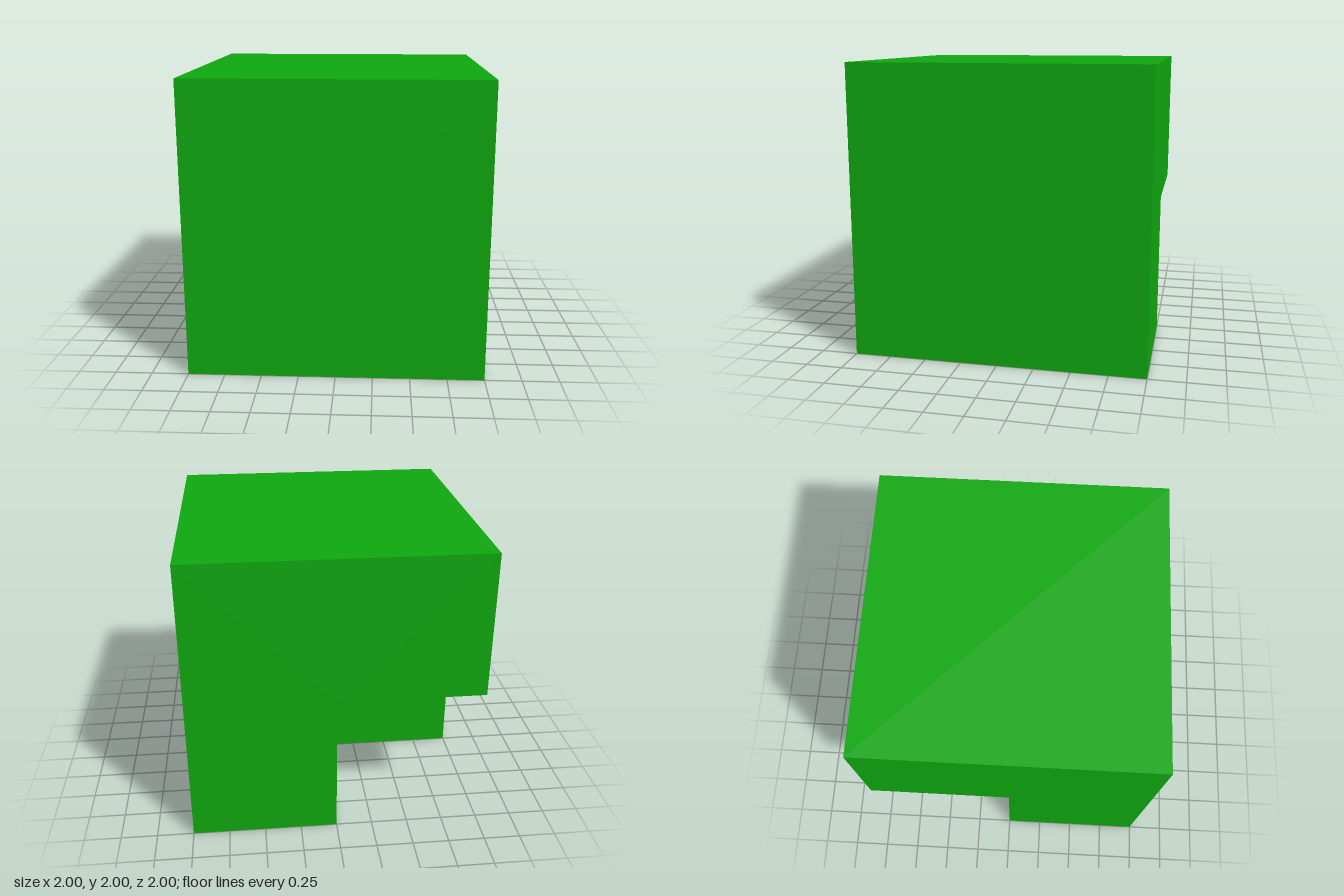
import * as THREE from 'three';
import { mergeGeometries } from 'three/addons/utils/BufferGeometryUtils.js';

// L-shaped face: a 2 x 2 square lacking the quarter at +x, -y, turned to face -z
function notchedFace() {
  const corners = [[-1, -1], [0, -1], [0, 0], [1, 0], [1, 1], [-1, 1]];
  const shape = new THREE.Shape(corners.map(([x, y]) => new THREE.Vector2(x, y)));
  return new THREE.ShapeGeometry(shape).rotateY(Math.PI).translate(0, 0, -1);
}

export function createModel() {
  const group = new THREE.Group();
  group.name = 'notchedCube';

  // Cyclic axis swap x -> y -> z -> x, which maps the notched corner onto itself
  const swap = new THREE.Matrix4().set(
    0, 0, 1, 0,
    1, 0, 0, 0,
    0, 1, 0, 0,
    0, 0, 0, 1
  );

  // Each axis has a full outer face, a notched outer face and an inner notch wall
  const faces = [];
  for (let axis = 0; axis < 3; axis++) {
    const set = [
      new THREE.PlaneGeometry(2, 2).translate(0, 0, 1),
      notchedFace(),
      new THREE.PlaneGeometry(1, 1).rotateY(Math.PI).translate(-0.5, -0.5, 0),
    ];
    for (const face of set) {
      for (let i = 0; i < axis; i++) face.applyMatrix4(swap);
      faces.push(face);
    }
  }

  const cube = new THREE.Mesh(
    mergeGeometries(faces),
    new THREE.MeshStandardMaterial({ color: 0x0fa60f, flatShading: true })
  );
  cube.name = 'cubeWithCornerNotch';
  cube.position.y = 1;
  group.add(cube);
  return group;
}
